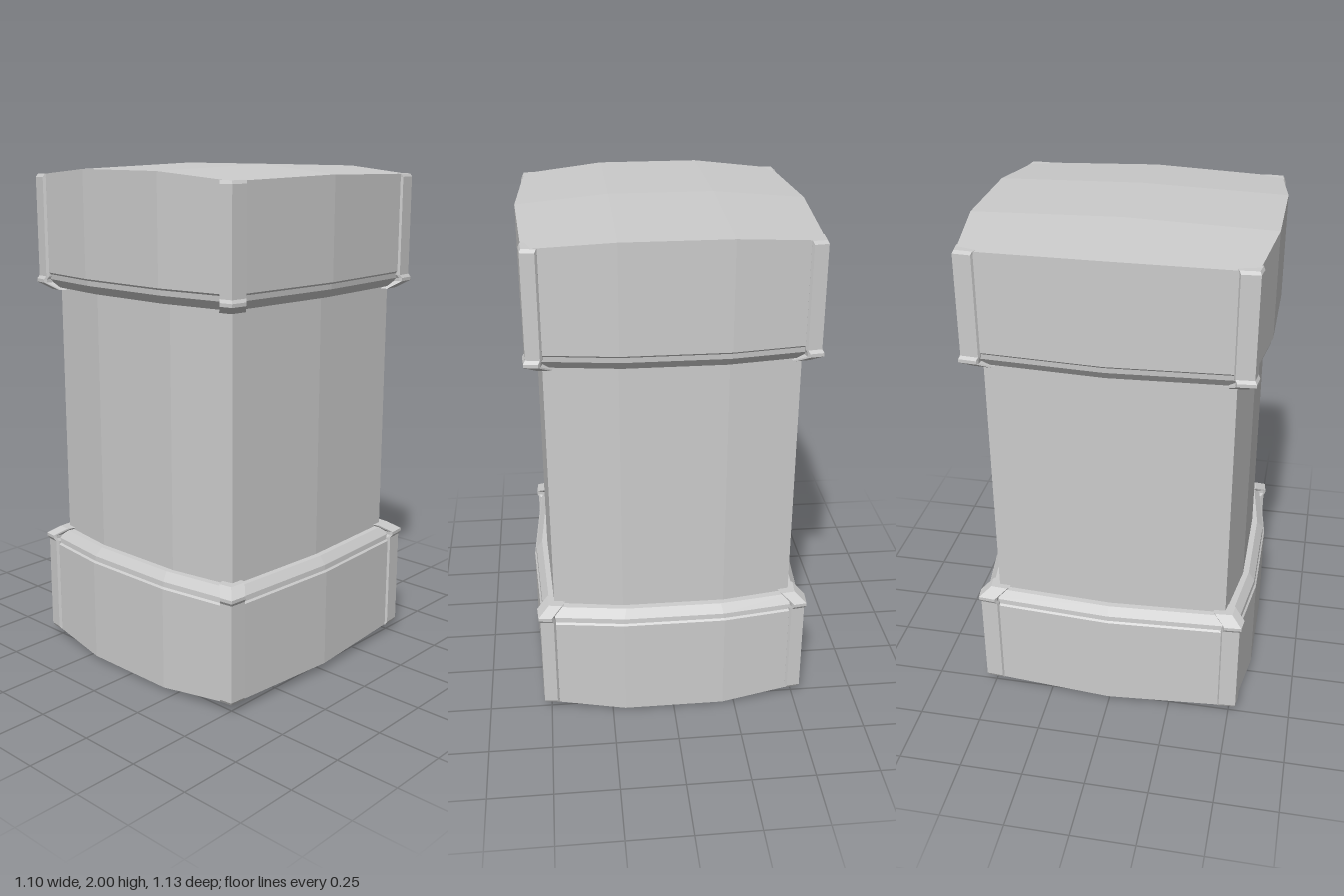
import * as THREE from 'three';

const material = new THREE.MeshStandardMaterial({ color: 0xcccccc, flatShading: true });

// Bulging ten-sided plan, anticlockwise seen from above
const plan = (side, cornerX, cornerZ, front) => [
  [side, 0], [cornerX, -cornerZ], [0.2, -front], [-0.2, -front], [-cornerX, -cornerZ],
  [-side, 0], [-cornerX, cornerZ], [-0.2, front], [0.2, front], [cornerX, cornerZ],
];
const blockPlan = plan(0.55, 0.52, 0.52, 0.565);
const shaftPlan = plan(0.495, 0.47, 0.465, 0.508);

// Height of the shallow curved end face
const dome = (x, z) => 0.015 * Math.abs(z) / 0.565 + 0.03 * Math.max(0, Math.abs(x) - 0.2) / 0.33;

// Skins rings of [x, y, z] from bottom to top, optionally closing the ends
function loft(rings, closeBottom, closeTop) {
  const out = [];
  const n = rings[0].length;
  const tri = (a, b, c) => out.push(...a, ...b, ...c);
  for (let k = 0; k < rings.length - 1; k++) {
    for (let i = 0; i < n; i++) {
      const j = (i + 1) % n;
      const a = rings[k][i], b = rings[k][j], c = rings[k + 1][j], d = rings[k + 1][i];
      tri(a, b, c);
      tri(a, c, d);
    }
  }
  const close = (ring, up) => {
    const mid = [0, 1, 2].map((axis) => ring.reduce((sum, p) => sum + p[axis], 0) / n);
    ring.forEach((p, i) => {
      const q = ring[(i + 1) % n];
      if (up) tri(mid, p, q); else tri(mid, q, p);
    });
  };
  if (closeBottom) close(rings[0], false);
  if (closeTop) close(rings[rings.length - 1], true);
  const geometry = new THREE.BufferGeometry();
  geometry.setAttribute('position', new THREE.Float32BufferAttribute(out, 3));
  geometry.computeVertexNormals();
  return geometry;
}

function add(group, name, geometry) {
  const mesh = new THREE.Mesh(geometry, material);
  mesh.name = name;
  group.add(mesh);
}

// Curved end face, bent from a 3 x 2 plane that faces down
function endFace() {
  const geometry = new THREE.PlaneGeometry(2, 2, 3, 2).rotateX(Math.PI / 2);
  const pos = geometry.attributes.position;
  for (let i = 0; i < pos.count; i++) {
    const u = pos.getX(i), v = Math.round(pos.getZ(i));
    const outer = Math.abs(u) > 0.9;
    const x = Math.sign(u) * (outer ? (v ? 0.52 : 0.55) : 0.2);
    const z = v * (outer ? 0.52 : 0.565);
    pos.setXYZ(i, x, dome(x, z), z);
  }
  geometry.computeVertexNormals();
  return geometry;
}

// Corner strip: one section slid along the corner diagonal as it rises
function cornerStrip(sx, sz) {
  const section = [[0.467, 0.528], [0.475, 0.537], [0.527, 0.53], [0.532, 0.462], [0.522, 0.455], [0.45, 0.45]];
  const levels = [[0.04, -0.006], [0.052, 0], [0.44, 0], [0.452, 0.007], [0.465, 0.007], [0.495, -0.035]];
  const rings = levels.map(([y, shift]) => {
    const ring = section.map(([x, z]) => [sx * (x + shift), y, sz * (z + shift)]);
    return sx * sz < 0 ? ring.reverse() : ring;
  });
  return loft(rings, true, true);
}

function endBlock(name) {
  const block = new THREE.Group();
  block.name = name;
  // Wall with a small step and a chamfer towards the shaft
  const profile = [[0.425, 1], [0.432, 0.988], [0.452, 0.985], [0.485, 0.94], [0.487, 0.88]];
  const rings = [blockPlan.map(([x, z]) => [x, dome(x, z), z])];
  for (const [y, s] of profile) rings.push(blockPlan.map(([x, z]) => [x * s, y, z * s]));
  add(block, 'blockWall', loft(rings, false, false));
  add(block, 'endFace', endFace());
  for (const sx of [1, -1]) {
    for (const sz of [1, -1]) {
      add(block, (sz > 0 ? 'front' : 'back') + (sx > 0 ? 'Left' : 'Right') + 'Strip', cornerStrip(sx, sz));
    }
  }
  return block;
}

export function createModel() {
  const model = new THREE.Group();
  model.name = 'pillar';

  // Shaft between the blocks
  add(model, 'shaft', loft([0.4, 1.6].map((y) => shaftPlan.map(([x, z]) => [x, y, z])), true, true));

  // Base, and the same block turned over as the capital
  model.add(endBlock('base'));
  const capital = endBlock('capital');
  capital.rotation.x = Math.PI;
  capital.position.y = 2;
  model.add(capital);
  return model;
}
